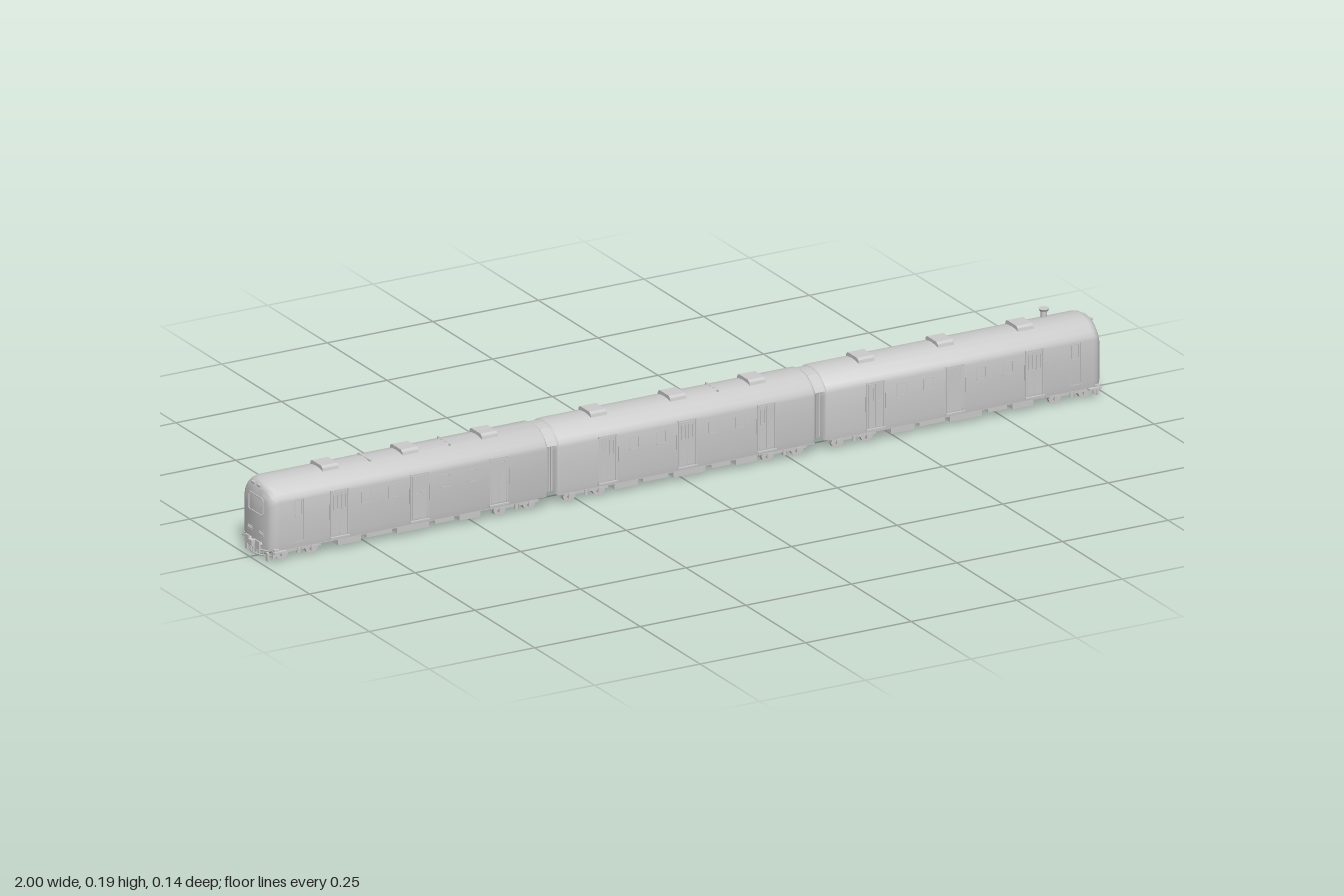
import * as THREE from 'three';
import { toCreasedNormals } from 'three/addons/utils/BufferGeometryUtils.js';

const grey = new THREE.MeshStandardMaterial({ color: 0xcccccc });
const thin = new THREE.MeshStandardMaterial({ color: 0xcccccc, side: THREE.DoubleSide });

function add(parent, name, geometry, x = 0, y = 0, z = 0, material = grey) {
  const mesh = new THREE.Mesh(geometry, material);
  mesh.name = name;
  mesh.position.set(x, y, z);
  parent.add(mesh);
  return mesh;
}
const box = (parent, name, sx, sy, sz, x, y, z) => add(parent, name, new THREE.BoxGeometry(sx, sy, sz), x, y, z);
function cyl(parent, name, r, h, axis, x, y, z, rTop = r, sides = 16) {
  const g = new THREE.CylinderGeometry(rTop, r, h, sides);
  if (axis === 'z') g.rotateX(Math.PI / 2);
  if (axis === 'x') g.rotateZ(-Math.PI / 2);
  return add(parent, name, g, x, y, z);
}

// Body cross-section [z, y], from the lower +z edge over the roof
const half = [[0.061, 0.026], [0.063, 0.04], [0.063, 0.09], [0.063, 0.13], [0.0615, 0.138], [0.055, 0.147],
  [0.042, 0.158], [0.028, 0.166], [0.014, 0.169]];
const section = [...half, [0, 0.17], ...half.slice().reverse().map(([z, y]) => [-z, y])];

// Skins a car between x0 and x1; e0 and e1 set how strongly each end is rounded
function carBody(x0, x1, e0, e1) {
  const steps = [[0, 0.017], [0.003, 0.010], [0.008, 0.005], [0.014, 0.0015], [0.022, 0]];
  const rings = [...steps.map(([s, d]) => [x0 + s * e0, d * e0]),
    ...steps.slice().reverse().map(([s, d]) => [x1 - s * e1, d * e1])];
  const n = section.length, pos = [], index = [];
  for (const [x, d] of rings)
    for (const [z, y] of section) pos.push(x, y - (y > 0.12 ? d : 0), z * (1 - d / 0.063));
  for (let k = 0; k < rings.length - 1; k++)
    for (let i = 0; i < n; i++) {
      const a = k * n + i, b = k * n + (i + 1) % n;
      index.push(a, a + n, b, b, a + n, b + n);
    }
  const last = (rings.length - 1) * n, c = rings.length * n;
  pos.push(x0, 0.09, 0, x1, 0.09, 0);
  for (let i = 0; i < n; i++) {
    const j = (i + 1) % n;
    index.push(c, i, j, c + 1, last + j, last + i);
  }
  const g = new THREE.BufferGeometry();
  g.setAttribute('position', new THREE.Float32BufferAttribute(pos, 3));
  g.setIndex(index);
  return toCreasedNormals(g, 0.65);
}

function roundRect(target, w, h, r) {
  const x = w / 2, y = h / 2;
  target.moveTo(-x + r, -y).lineTo(x - r, -y).quadraticCurveTo(x, -y, x, -y + r).lineTo(x, y - r)
    .quadraticCurveTo(x, y, x - r, y).lineTo(-x + r, y).quadraticCurveTo(-x, y, -x, y - r)
    .lineTo(-x, -y + r).quadraticCurveTo(-x, -y, -x + r, -y);
  return target;
}
// Raised rounded frame facing +z
function frame(w, h, r, t, depth) {
  const s = roundRect(new THREE.Shape(), w, h, r);
  s.holes.push(roundRect(new THREE.Path(), w - 2 * t, h - 2 * t, r * 0.7));
  return new THREE.ExtrudeGeometry(s, { depth, bevelEnabled: false, curveSegments: 4 });
}

// One long side: doors, windows, sills and steps
function buildSide(doors) {
  const side = new THREE.Group();
  side.name = 'sideFittings';
  const z = 0.063;
  for (const x of doors) {
    for (const s of [-1, 1]) {
      box(side, 'doorLeaf', 0.0165, 0.094, 0.0012, x + s * 0.0088, 0.084, z);
      add(side, 'doorWindow', frame(0.011, 0.034, 0.002, 0.0015, 0.0016), x + s * 0.0088, 0.109, z);
      box(side, 'doorPost', 0.002, 0.102, 0.003, x + s * 0.02, 0.084, z);
      cyl(side, 'handrail', 0.0008, 0.034, 'y', x + s * 0.0245, 0.09, z + 0.0015, 0.0008, 6);
    }
    box(side, 'doorHeader', 0.044, 0.003, 0.005, x, 0.1345, z);
    box(side, 'doorStep', 0.046, 0.003, 0.007, x, 0.032, z);
  }
  for (const carX of [-0.634, 0, 0.634])
    for (const dx of [-0.126, -0.062, 0.062, 0.126])
      add(side, 'sideWindow', frame(0.024, 0.029, 0.004, 0.002, 0.0014), carX + dx, 0.108, z - 0.0004);
  for (const s of [-1, 1]) {
    add(side, 'cabDoor', frame(0.025, 0.094, 0.003, 0.0015, 0.0012), s * 0.92, 0.086, z - 0.0004);
    add(side, 'cabDoorWindow', frame(0.018, 0.035, 0.003, 0.0018, 0.0016), s * 0.92, 0.113, z - 0.0004);
  }
  // Equipment hung under the sills
  for (const carX of [-0.655, 0, 0.655]) {
    box(side, 'sillBeam', 0.61, 0.005, 0.004, carX, 0.026, 0.057);
    [[-0.14, 0.055], [-0.07, 0.06], [0.01, 0.075], [0.085, 0.045], [0.145, 0.05]].forEach(([dx, w], i) =>
      box(side, 'underframeBox', w, i % 2 ? 0.012 : 0.016, 0.025, carX + dx, i % 2 ? 0.02 : 0.018, 0.043));
  }
  return side;
}

// Two-axle bogie
function buildBogie(x) {
  const b = new THREE.Group();
  b.name = 'bogie';
  b.position.x = x;
  box(b, 'bolster', 0.03, 0.012, 0.09, 0, 0.021, 0);
  for (const dx of [-0.035, 0.035]) cyl(b, 'axle', 0.003, 0.09, 'z', dx, 0.015, 0);
  for (const s of [-1, 1]) {
    box(b, 'bogieFrame', 0.105, 0.006, 0.006, 0, 0.02, s * 0.052);
    cyl(b, 'spring', 0.005, 0.013, 'y', 0, 0.018, s * 0.056, 0.005, 10);
    for (const dx of [-0.035, 0.035]) {
      cyl(b, 'wheel', 0.015, 0.008, 'z', dx, 0.015, s * 0.043, 0.015, 24);
      cyl(b, 'wheelFlange', 0.0165, 0.002, 'z', dx, 0.0165, s * 0.038, 0.0165, 24);
      box(b, 'axleBox', 0.012, 0.011, 0.008, dx, 0.016, s * 0.053);
    }
  }
  return b;
}

// Cab end fittings facing +x
function buildCabEnd() {
  const e = new THREE.Group();
  e.name = 'cabEnd';
  const x = 0.985;
  const win = add(e, 'windscreenFrame', frame(0.062, 0.04, 0.006, 0.0025, 0.0025), x - 0.0005, 0.114, 0);
  win.rotation.y = Math.PI / 2;
  for (const s of [-1, 1]) {
    box(e, 'headlightHousing', 0.004, 0.009, 0.017, x, 0.055, s * 0.023);
    for (const dz of [-0.004, 0.004])
      cyl(e, 'headlight', 0.003, 0.002, 'x', x + 0.0025, 0.055, s * 0.023 + dz);
    box(e, 'roofLight', 0.007, 0.005, 0.014, x - 0.002, 0.157, s * 0.0115);
    // Buffers, steps and hoses
    cyl(e, 'bufferStem', 0.004, 0.012, 'x', x + 0.002, 0.032, s * 0.022);
    box(e, 'bufferHead', 0.003, 0.018, 0.016, x + 0.0085, 0.032, s * 0.022);
    box(e, 'cabStep', 0.03, 0.004, 0.012, 0.965, 0.024, s * 0.062);
    box(e, 'stepBracket', 0.006, 0.016, 0.006, 0.972, 0.015, s * 0.05);
    box(e, 'railGuard', 0.005, 0.018, 0.008, 0.982, 0.01, s * 0.043);
    const hose = new THREE.QuadraticBezierCurve3(new THREE.Vector3(x, 0.034, s * 0.012),
      new THREE.Vector3(0.996, 0.022, s * 0.013), new THREE.Vector3(0.991, 0.014, s * 0.01));
    add(e, 'hose', new THREE.TubeGeometry(hose, 8, 0.0012, 6), 0, 0, 0, thin);
  }
  box(e, 'bufferBeam', 0.012, 0.009, 0.128, 0.972, 0.026, 0);
  box(e, 'couplerShank', 0.025, 0.007, 0.009, 0.985, 0.032, 0);
  box(e, 'couplerHead', 0.007, 0.012, 0.016, 0.9965, 0.032, 0);
  // Curved guard with upright bars
  for (const y of [0.021, 0.009]) {
    const dip = y < 0.015 ? 0.003 : 0;
    const rail = new THREE.QuadraticBezierCurve3(new THREE.Vector3(0.968, y + dip, 0.054),
      new THREE.Vector3(1.016, y - dip, 0), new THREE.Vector3(0.968, y + dip, -0.054));
    add(e, 'guardRail', new THREE.TubeGeometry(rail, 16, 0.0016, 6), 0, 0, 0, thin);
  }
  for (let i = -5; i <= 5; i++) {
    const t = i / 5.4;
    box(e, 'guardBar', 0.002, 0.013, 0.0022, 0.992 - 0.024 * t * t, 0.0155, t * 0.054);
  }
  return e;
}

export function createModel() {
  const train = new THREE.Group();
  train.name = 'train';
  const doors = [-0.823, -0.634, -0.446, -0.188, 0, 0.188, 0.446, 0.634, 0.823];

  add(train, 'leftCarBody', carBody(0.327, 0.985, 0.35, 1));
  add(train, 'middleCarBody', carBody(-0.307, 0.307, 0.35, 0.35));
  add(train, 'rightCarBody', carBody(-0.985, -0.327, 1, 0.35));

  // Gangways between the cars, with bellows ribs and a roof cover
  for (const s of [-1, 1]) {
    box(train, 'gangway', 0.03, 0.11, 0.084, s * 0.317, 0.085, 0);
    for (const dx of [-0.005, 0, 0.005]) box(train, 'bellowsRib', 0.002, 0.112, 0.092, s * 0.317 + dx, 0.086, 0);
    const cover = new THREE.Shape();
    section.filter(p => p[1] > 0.134).forEach(([z, y], i) => cover[i ? 'lineTo' : 'moveTo'](-z * 0.97, y - 0.003));
    const g = new THREE.ExtrudeGeometry(cover, { depth: 0.028, bevelEnabled: false });
    add(train, 'gangwayRoof', g.translate(0, 0, -0.014).rotateY(Math.PI / 2), s * 0.317, 0, 0);
    box(train, 'drawbar', 0.06, 0.007, 0.012, s * 0.317, 0.024, 0);
  }

  // Roof vents above the doors
  const vent = new THREE.Shape([[-0.029, 0.158], [0.029, 0.158], [0.025, 0.173], [0.019, 0.177], [-0.019, 0.177],
    [-0.025, 0.173]].map(p => new THREE.Vector2(...p)));
  const ventGeometry = new THREE.ExtrudeGeometry(vent, { depth: 0.038, bevelEnabled: false })
    .translate(0, 0, -0.019).rotateY(Math.PI / 2);
  for (const x of doors) add(train, 'roofVent', ventGeometry, x, 0, 0);

  // Small roof fittings and the exhaust
  box(train, 'roofBar', 0.005, 0.005, 0.05, -0.728, 0.168, 0);
  for (const z of [-0.024, -0.008, 0.008, 0.024]) {
    box(train, 'roofStud', 0.004, 0.006, 0.004, 0.095, 0.168, z);
    box(train, 'roofStud', 0.004, 0.006, 0.004, -0.54, 0.168, z);
  }
  cyl(train, 'exhaustPipe', 0.0065, 0.022, 'y', 0.892, 0.173, -0.02, 0.0065, 20);
  cyl(train, 'exhaustCap', 0.009, 0.005, 'y', 0.892, 0.184, -0.02, 0.0115, 20);

  for (const x of [-0.915, -0.4, -0.235, 0.235, 0.4, 0.915]) train.add(buildBogie(x));

  // The two sides and the two ends repeat by a half turn
  for (const turn of [0, Math.PI]) {
    const part = new THREE.Group();
    part.name = turn ? 'rearSideAndRightEnd' : 'frontSideAndLeftEnd';
    part.add(buildSide(doors), buildCabEnd());
    part.rotation.y = turn;
    train.add(part);
  }
  return train;
}
